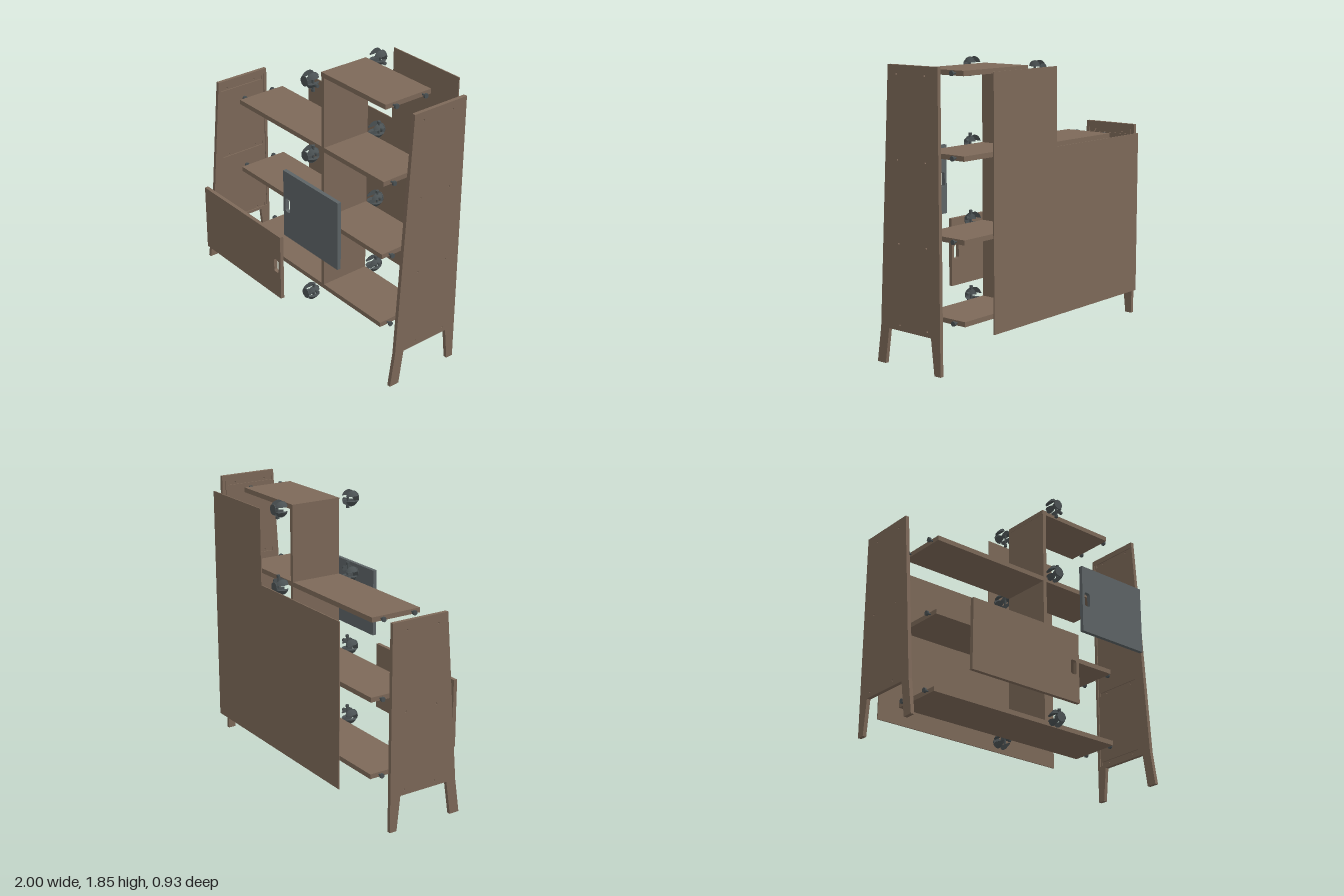
import * as THREE from 'three';
import { toCreasedNormals } from 'three/addons/utils/BufferGeometryUtils.js';

const wood = new THREE.MeshStandardMaterial({ color: 0x7d6959 });
wood.name = 'brown wood';
const grey = new THREE.MeshStandardMaterial({ color: 0x5d6466 });
grey.name = 'grey paint';
const metal = new THREE.MeshStandardMaterial({ color: 0x4b5254 });
metal.name = 'dark hardware';

const LEVELS = [0.265, 0.775, 1.287, 1.798]; // shelf centre heights
const PEG_Z = [0.07, -0.16];
const THICK = 0.032;

function add(parent, name, geometry, material, x = 0, y = 0, z = 0) {
  const mesh = new THREE.Mesh(geometry, material);
  mesh.name = name;
  mesh.position.set(x, y, z);
  parent.add(mesh);
  return mesh;
}

// Box given by its limits
function box(parent, name, material, x0, x1, y0, y1, z0, z1) {
  return add(parent, name, new THREE.BoxGeometry(x1 - x0, y1 - y0, z1 - z0), material,
    (x0 + x1) / 2, (y0 + y1) / 2, (z0 + z1) / 2);
}

function polygon(points, Type = THREE.Shape) {
  return new Type(points.map(([a, b]) => new THREE.Vector2(a, b)));
}

function rectHole(a0, a1, b0, b1) {
  return polygon([[a0, b0], [a0, b1], [a1, b1], [a1, b0]], THREE.Path);
}

function extrude(shape, depth) {
  return new THREE.ExtrudeGeometry(shape, { depth, bevelEnabled: false, curveSegments: 8 });
}

// Tapered side with two legs; shape x is -z
function sideShape(height) {
  return polygon([[-0.27, 0], [-0.2, 0], [-0.165, 0.23], [0.19, 0.23], [0.215, 0],
    [0.265, 0], [0.265, height], [-0.14, height], [-0.235, 0.23]]);
}

function sidePanel(name, height, outerX, sign) {
  const group = new THREE.Group();
  group.name = name;
  const levels = LEVELS.filter((y) => y < height);
  const outer = sideShape(height);
  const inner = sideShape(height);
  for (const y of levels) {
    for (const z of PEG_Z) {
      outer.holes.push(new THREE.Path().absarc(-z, y, 0.006, 0, Math.PI * 2, true));
    }
    inner.holes.push(rectHole(-0.125, 0.222, y - 0.014, y + 0.014)); // shelf groove
  }
  inner.holes.push(rectHole(0.236, 0.244, 0.25, height - 0.035)); // back board groove
  const layers = [['outerFace', outer, 0.018, 0], ['groovedInnerFace', inner, 0.007, 0.018]];
  for (const [part, shape, depth, offset] of layers) {
    const start = sign > 0 ? outerX - offset - depth : outerX + offset;
    add(group, part, extrude(shape, depth).rotateY(Math.PI / 2), wood, start);
  }
  return group;
}

// Door with a rounded finger slot through it
function door(parent, name, material, [x0, x1, y0, y1], [cx, cy]) {
  const shape = polygon([[x0, y0], [x1, y0], [x1, y1], [x0, y1]]);
  const w = 0.023, h = 0.048, r = 0.014;
  const slot = new THREE.Path();
  slot.absarc(cx + w - r, cy + h - r, r, 0, Math.PI / 2);
  slot.absarc(cx - w + r, cy + h - r, r, Math.PI / 2, Math.PI);
  slot.absarc(cx - w + r, cy - h + r, r, Math.PI, Math.PI * 1.5);
  slot.absarc(cx + w - r, cy - h + r, r, Math.PI * 1.5, Math.PI * 2);
  slot.closePath();
  shape.holes.push(slot);
  add(parent, name, extrude(shape, 0.026), material, 0, 0, 0.437);
}

// Peg with a wide head, pointing out of a shelf end
function peg(parent, sign, y, z) {
  const shank = new THREE.CylinderGeometry(0.006, 0.006, 0.03, 10).rotateZ(Math.PI / 2);
  const head = new THREE.CylinderGeometry(0.016, 0.016, 0.013, 14).rotateZ(Math.PI / 2);
  add(parent, 'pegShank', shank, metal, sign * 0.747, y, z);
  add(parent, 'pegHead', head, metal, sign * 0.765, y, z);
}

// One quarter of a ball, trimmed flat along the board gaps
function lobeGeometry(sx, sy) {
  const geometry = new THREE.SphereGeometry(0.053, 20, 14).rotateX(Math.PI / 2);
  const p = geometry.attributes.position;
  for (let i = 0; i < p.count; i++) {
    p.setXYZ(i,
      sx * Math.max(sx * p.getX(i), 0.022),
      sy * Math.max(sy * p.getY(i), 0.017),
      THREE.MathUtils.clamp(p.getZ(i), -0.045, 0.045));
  }
  return toCreasedNormals(geometry, 0.6);
}

// Ball clamp that grips the crossing of a shelf and a divider
function clamp(y, z, screwSide) {
  const group = new THREE.Group();
  group.name = 'ballClamp';
  group.position.set(0.152, y, z);
  for (const sx of [-1, 1]) {
    for (const sy of [-1, 1]) add(group, 'clampLobe', lobeGeometry(sx, sy), metal);
  }
  const disc = new THREE.CylinderGeometry(0.034, 0.034, 0.006, 24).rotateX(Math.PI / 2);
  add(group, 'clampFace', disc, metal, 0, 0, Math.sign(z) * 0.046);
  // Tightening screws
  const s = screwSide;
  add(group, 'uprightScrew', new THREE.CylinderGeometry(0.008, 0.008, 0.08, 10), metal, 0.025, s * 0.022, 0);
  add(group, 'uprightScrewHead', new THREE.CylinderGeometry(0.012, 0.012, 0.016, 12), metal, 0.025, s * 0.063, 0);
  add(group, 'sideScrew', new THREE.CylinderGeometry(0.008, 0.008, 0.04, 10).rotateZ(Math.PI / 2),
    metal, 0.045, s * 0.022, 0);
  add(group, 'sideScrewHead', new THREE.CylinderGeometry(0.012, 0.012, 0.016, 12).rotateZ(Math.PI / 2),
    metal, 0.064, s * 0.022, 0);
  return group;
}

export function createModel() {
  const model = new THREE.Group();
  model.name = 'explodedShelfUnit';

  // Sides
  model.add(sidePanel('leftSidePanel', 1.852, 0.998, 1));
  model.add(sidePanel('rightSidePanel', 1.345, -0.998, -1));

  // Shelves, pegs, dividers and clamps
  LEVELS.forEach((y, i) => {
    const top = i === LEVELS.length - 1;
    box(model, 'shelf', wood, top ? 0.137 : -0.737, 0.735, y - THICK / 2, y + THICK / 2, -0.228, 0.13);
    for (const z of PEG_Z) {
      peg(model, 1, y, z);
      if (!top) peg(model, -1, y, z);
    }
    if (!top) {
      box(model, 'divider', wood, 0.139, 0.166, y + THICK / 2, LEVELS[i + 1] - THICK / 2, -0.228, 0.13);
    }
    for (const z of [0.225, -0.315]) model.add(clamp(y, z, top ? -1 : 1));
  });

  // Stepped back board
  const board = polygon([[-0.737, 0.243], [0.735, 0.243], [0.735, 1.82],
    [0.142, 1.82], [0.142, 1.322], [-0.737, 1.322]]);
  add(model, 'backBoard', extrude(board, 0.007), wood, 0, 0, -0.464);

  // Doors
  door(model, 'lowerDoor', wood, [-0.71, 0.133, 0.29, 0.754], [0.088, 0.522]);
  door(model, 'upperDoor', grey, [0.178, 0.708, 0.8, 1.262], [0.22, 1.03]);

  return model;
}
